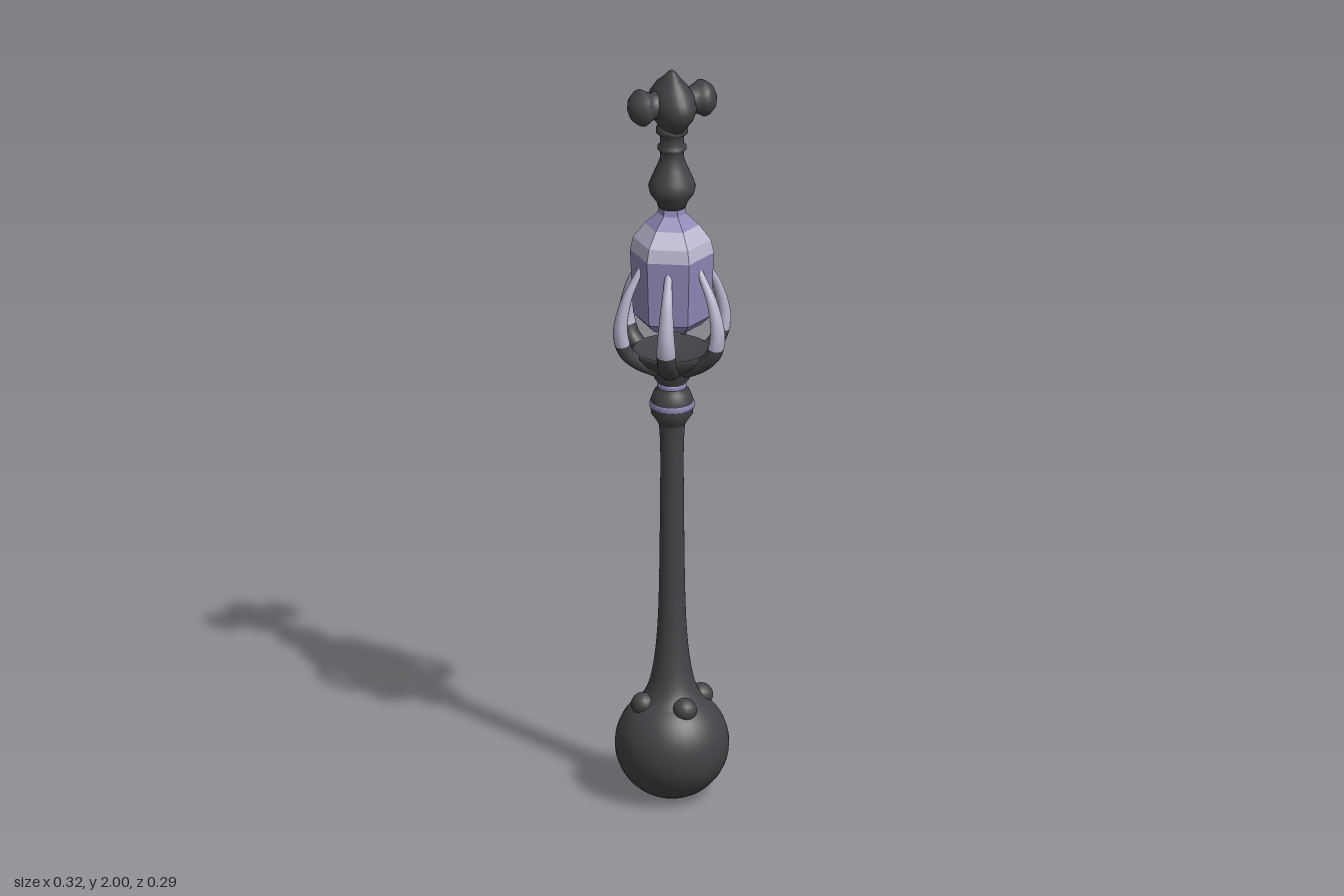
import * as THREE from 'three';

const paint = (name, color) => {
  const m = new THREE.MeshStandardMaterial({ color });
  m.name = name;
  return m;
};

export function createModel() {
  const dark = paint('dark iron', 0x434347);
  const pale = paint('pale lilac', 0xbab8cf);
  const violet = paint('violet crystal', 0x8e88b6);
  const root = new THREE.Group();
  root.name = 'sceptre';

  const add = (name, geometry, material, parent = root) => {
    const mesh = new THREE.Mesh(geometry, material);
    mesh.name = name;
    parent.add(mesh);
    return mesh;
  };
  // Profiles are [radius, height] pairs from bottom to top
  const turn = (profile, segments = 32) =>
    new THREE.LatheGeometry(profile.map(([r, y]) => new THREE.Vector2(r, y)), segments);
  const smoothTurn = (profile, steps = 40) =>
    new THREE.LatheGeometry(
      new THREE.SplineCurve(profile.map(([r, y]) => new THREE.Vector2(r, y))).getPoints(steps)
        .map((p) => new THREE.Vector2(Math.max(0, p.x), p.y)), 32);
  const facet = (profile) => {
    const g = turn(profile, 6).toNonIndexed();
    g.computeVertexNormals();
    return g;
  };

  // Pommel ball with four small shoulder bumps
  add('pommel', new THREE.SphereGeometry(0.146, 36, 24), dark).position.y = 0.146;
  for (let i = 0; i < 4; i++) {
    const a = (i * Math.PI) / 2;
    const bump = add('pommelBump', new THREE.SphereGeometry(0.032, 14, 10), dark);
    bump.scale.y = 0.95;
    bump.position.set(Math.cos(a) * 0.08, 0.263, Math.sin(a) * 0.08);
  }

  // Slender shaft flaring into the pommel
  add('shaft', smoothTurn([[0.1, 0.25], [0.07, 0.285], [0.052, 0.34], [0.04, 0.43],
    [0.034, 0.55], [0.031, 0.75], [0.03, 0.95], [0.034, 1.03]]), dark);

  // Collar, its inlaid band and the cup under the cage
  add('collar', turn([[0.032, 1.02], [0.04, 1.035], [0.054, 1.055], [0.055, 1.09], [0.046, 1.115],
    [0.036, 1.125], [0.036, 1.14], [0.045, 1.15], [0.045, 1.165], [0.055, 1.178],
    [0.085, 1.2], [0.105, 1.225], [0.095, 1.232], [0.06, 1.215], [0, 1.21]]), dark);
  add('collarBand', turn([[0.0545, 1.071], [0.0575, 1.073], [0.0575, 1.085], [0.0545, 1.087]]), violet);
  add('neckBand', turn([[0.036, 1.126], [0.038, 1.128], [0.038, 1.136], [0.036, 1.138]]), violet);

  // Six curved claws: dark at the root, pale above, tapering to the tip
  const path = new THREE.CatmullRomCurve3([[0.045, 1.18], [0.09, 1.205], [0.13, 1.243],
    [0.144, 1.3], [0.127, 1.385], [0.1, 1.44], [0.08, 1.478]]
    .map(([x, y]) => new THREE.Vector3(x, y, 0)));
  const STEPS = 30, SIDES = 12, SPLIT = 11;
  const claw = new THREE.TubeGeometry(path, STEPS, 1, SIDES);
  const pos = claw.attributes.position;
  const v = new THREE.Vector3();
  for (let i = 0; i < pos.count; i++) {
    const t = Math.floor(i / (SIDES + 1)) / STEPS;
    const centre = path.getPointAt(t);
    const r = t < 0.4 ? 0.019 : 0.019 - 0.013 * ((t - 0.4) / 0.6);
    v.fromBufferAttribute(pos, i).sub(centre).multiplyScalar(r);
    v.z *= 1.3;
    v.add(centre);
    pos.setXYZ(i, v.x, v.y, v.z);
  }
  claw.addGroup(0, SPLIT * SIDES * 6, 0);
  claw.addGroup(SPLIT * SIDES * 6, (STEPS - SPLIT) * SIDES * 6, 1);
  for (let i = 0; i < 6; i++) {
    add('claw', claw, [dark, pale]).rotation.y = (i * Math.PI) / 3;
  }

  // Six-sided crystal with a pale shoulder
  add('crystalBody', facet([[0, 1.295], [0.075, 1.3], [0.1, 1.325], [0.108, 1.5]]), violet);
  add('crystalShoulder', facet([[0.108, 1.5], [0.1, 1.535], [0.07, 1.575]]), pale);
  add('crystalCrown', facet([[0.07, 1.575], [0.037, 1.605], [0.031, 1.635]]), violet);

  // Turned stem above the crystal
  add('upperStem', turn([[0, 1.622], [0.036, 1.624], [0.04, 1.638], [0.056, 1.66], [0.061, 1.68],
    [0.054, 1.7], [0.041, 1.73], [0.031, 1.755], [0.03, 1.775], [0.037, 1.782], [0.037, 1.79],
    [0.03, 1.797], [0.031, 1.82], [0.041, 1.828], [0.041, 1.84], [0.034, 1.848]]), dark);

  // Pointed finial, deeper than it is wide, with two side knobs
  const finial = new THREE.Group();
  finial.name = 'finial';
  root.add(finial);
  add('finialCore', turn([[0.024, 1.83], [0.036, 1.85], [0.05, 1.872], [0.058, 1.9], [0.053, 1.93],
    [0.038, 1.957], [0.02, 1.977], [0.01, 1.992], [0, 2]]), dark, finial).scale.z = 1.48;
  for (const side of [-1, 1]) {
    const knob = add('sideKnob', turn([[0.045, 0.02], [0.034, 0.055], [0.041, 0.07], [0.049, 0.083],
      [0.046, 0.094], [0.033, 0.11], [0.014, 0.119], [0, 0.121]], 20), dark, finial);
    knob.rotation.z = -side * Math.PI / 2;
    knob.position.y = 1.908;
  }
  return root;
}
